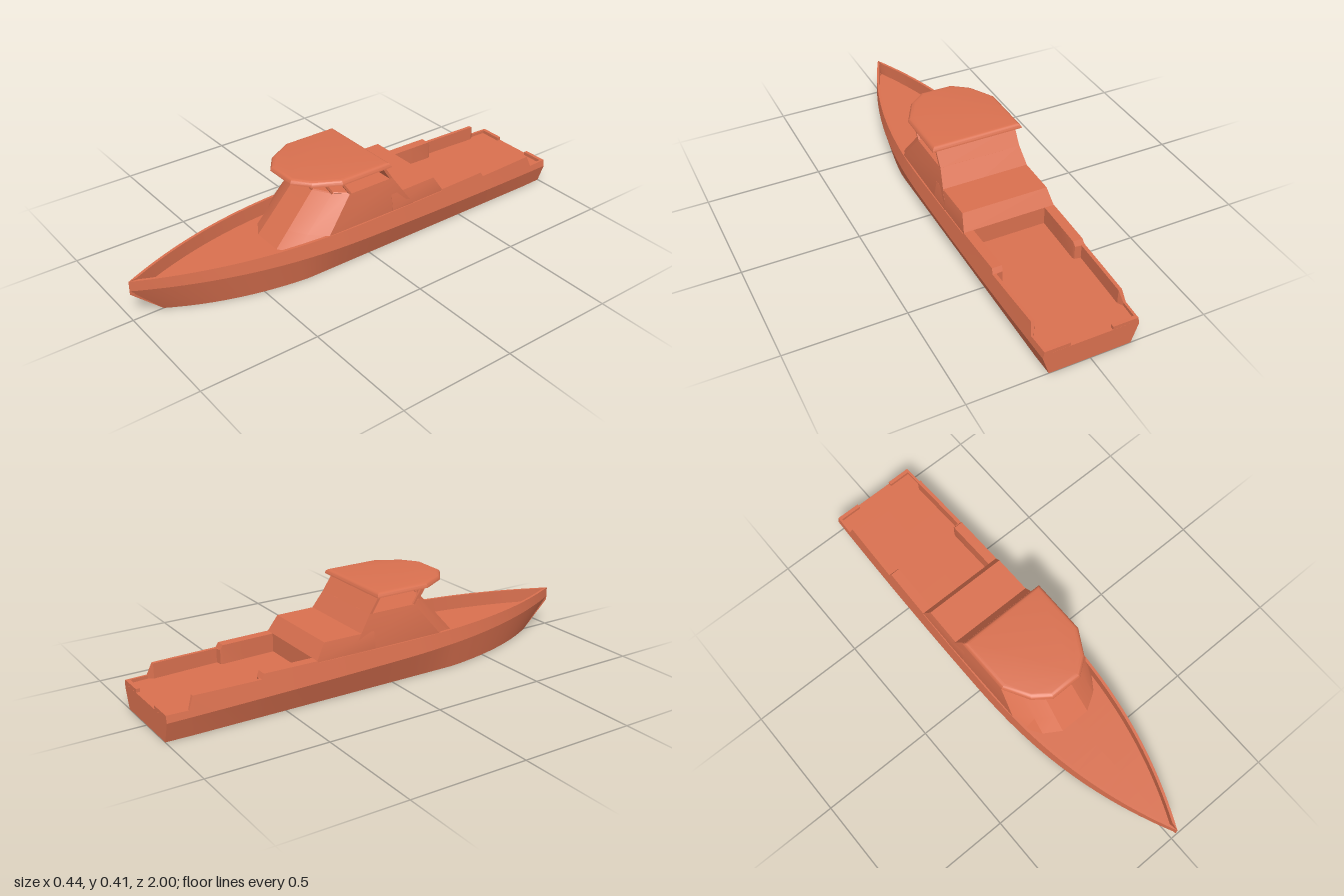
import * as THREE from 'three';
import { toCreasedNormals } from 'three/addons/utils/BufferGeometryUtils.js';

const paint = new THREE.MeshStandardMaterial({ color: 0xd9704f, side: THREE.DoubleSide });

// Close a half outline (points with x >= 0) by mirroring it across x = 0
const mirror = (half) => [...half, ...half.map(([x, y, z]) => [-x, y, z]).reverse()];

// Skin a list of matching closed outlines and cap both ends
function loft(rings, crease = 0.35) {
  const pos = [];
  const same = (a, b) => Math.hypot(a[0] - b[0], a[1] - b[1], a[2] - b[2]) < 1e-6;
  const tri = (a, b, c) => {
    if (!same(a, b) && !same(b, c) && !same(a, c)) pos.push(...a, ...b, ...c);
  };
  const n = rings[0].length;
  for (let i = 0; i < rings.length - 1; i++) {
    for (let j = 0; j < n; j++) {
      const k = (j + 1) % n, r = rings[i], s = rings[i + 1];
      tri(r[j], r[k], s[k]);
      tri(r[j], s[k], s[j]);
    }
  }
  const first = rings[0], last = rings[rings.length - 1];
  for (let j = 1; j < n - 1; j++) {
    tri(first[0], first[j + 1], first[j]);
    tri(last[0], last[j], last[j + 1]);
  }
  const g = new THREE.BufferGeometry();
  g.setAttribute('position', new THREE.Float32BufferAttribute(pos, 3));
  return toCreasedNormals(g, crease);
}

// Stack of symmetric plan outlines: [y, [[x, z], ...]]
const stack = (levels) => loft(levels.map(([y, plan]) => mirror(plan.map(([x, z]) => [x, y, z]))));

function beam(a, b, width) {
  const p = new THREE.Vector3(...a), q = new THREE.Vector3(...b);
  const g = new THREE.BoxGeometry(width, p.distanceTo(q), width);
  g.applyQuaternion(new THREE.Quaternion().setFromUnitVectors(
    new THREE.Vector3(0, 1, 0), q.clone().sub(p).normalize()));
  const m = p.add(q).multiplyScalar(0.5);
  return g.translate(m.x, m.y, m.z);
}

// Hull cross-section at z with bulwark height and thickness
function hullSection(z, top, thick) {
  const wide = z < 0 ? 0.22 - 0.02 * z * z : 0.22 * (1 - Math.pow(z, 2.3));
  const knuckleY = 0.11 + 0.025 * z;
  const deckY = 0.11 + 0.01 * z;
  const rim = wide * (1 - 0.9 * (top - knuckleY));
  const inner = Math.max(0, rim - thick);
  const keelZ = z - 0.13 * Math.max(0, z) ** 2;
  return mirror([
    [0, 0, keelZ], [Math.min(0.175, 0.86 * wide), 0, keelZ],
    [wide, knuckleY, z], [rim, top, z], [inner, top, z],
    [inner, deckY, z], [0, deckY, z],
  ]);
}

export function createModel() {
  const model = new THREE.Group();
  const add = (name, geometry, parent = model) => {
    const mesh = new THREE.Mesh(geometry, paint);
    mesh.name = name;
    parent.add(mesh);
    return mesh;
  };

  // Hull, deck and stepped bulwarks in one skin
  const stations = [
    [-1, 0.115, 0.01], [-0.91, 0.115, 0.01], [-0.89, 0.165, 0.015], [-0.75, 0.165, 0.015],
    [-0.61, 0.165, 0.015], [-0.611, 0.165, 0.042], [-0.6, 0.185, 0.042],
    [-0.48, 0.185, 0.042], [-0.37, 0.185, 0.042], [-0.365, 0.178, 0.012],
  ];
  stations[4][0] = -0.615;
  for (let i = 0; i <= 36; i++) stations.push([-0.32 + (1.32 * i) / 36, 0.178, 0.012]);
  add('hull', loft(stations.map((s) => hullSection(...s))));

  // Low stern walls either side of the open transom
  for (const side of [1, -1]) {
    const wall = add('sternWall', new THREE.BoxGeometry(0.105, 0.025, 0.016));
    wall.position.set(side * 0.1405, 0.1025, -0.9915);
  }

  // Wheelhouse with faceted front
  const sill = [[0.06, 0.205], [0.133, 0.16], [0.178, 0.105]];
  add('wheelhouse', stack([
    [0.1, [[0.068, 0.4], [0.14, 0.355], [0.19, 0.28], [0.19, -0.26]]],
    [0.178, [[0.065, 0.33], [0.137, 0.285], [0.199, 0.22], [0.202, -0.208]]],
    [0.32, [...sill, [0.178, -0.113]]],
  ]));

  // Lower house behind the wheelhouse
  add('aftHouse', stack([
    [0.1, [[0.19, -0.1], [0.19, -0.37]]],
    [0.185, [[0.202, -0.1], [0.2, -0.37]]],
    [0.25, [[0.19, -0.1], [0.187, -0.33]]],
  ]));

  // Sloping back wall of the bridge
  add('bridgeBackWall', stack([
    [0.318, [[0.178, -0.1], [0.178, -0.114]]],
    [0.39, [[0.178, -0.054], [0.178, -0.067]]],
  ]));

  // Forward-leaning window frames
  const frames = new THREE.Group();
  frames.name = 'windowFrames';
  model.add(frames);
  const low = sill.map(([x, z]) => [x - 0.003, 0.321, z - 0.003]);
  const high = sill.map(([x, z]) => [x - 0.003, 0.387, z + 0.041]);
  const flip = ([x, y, z]) => [-x, y, z];
  for (const f of [(p) => p, flip]) {
    for (let i = 0; i < 3; i++) {
      add('windowPost', beam(f(low[i]), f(high[i]), 0.009), frames);
      if (i < 2) {
        add('windowSill', beam(f(low[i]), f(low[i + 1]), 0.006), frames);
        add('windowHead', beam(f(high[i]), f(high[i + 1]), 0.008), frames);
      }
    }
  }
  add('windowSill', beam(low[0], flip(low[0]), 0.006), frames);
  add('windowHead', beam(high[0], flip(high[0]), 0.008), frames);

  // Roof with rounded rim
  const plan = [[0.07, 0.315], [0.14, 0.262], [0.2, 0.155], [0.2, -0.09]];
  const levels = [];
  for (let i = 0; i <= 5; i++) {
    const a = (i / 5) * Math.PI / 2;
    const k = 1 - 0.1 * (1 - Math.cos(a));
    levels.push([0.387 + 0.02 * Math.sin(a), plan.map(([x, z]) => [x * k, 0.11 + (z - 0.11) * k])]);
  }
  add('roof', stack(levels));

  return model;
}
